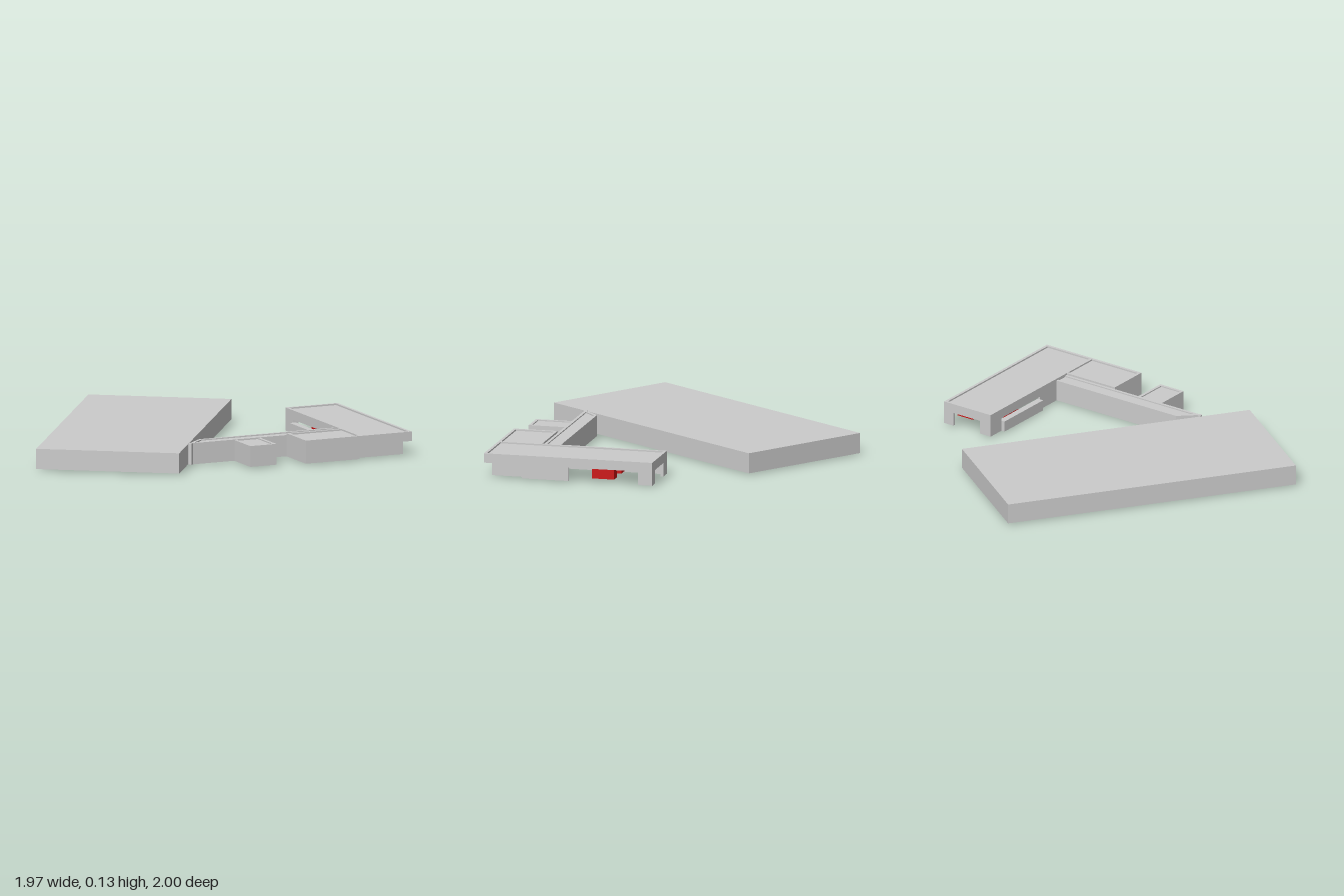
import * as THREE from 'three';

const grey = new THREE.MeshStandardMaterial({ color: 0xcccccc, side: THREE.DoubleSide });
const red = new THREE.MeshStandardMaterial({ color: 0xcc1111 });
const T = 0.015; // wall thickness
const BASE = 0.008;

// Box given by its extents on each axis
function block(parent, name, [x0, x1], [y0, y1], [z0, z1], material = grey) {
  const mesh = new THREE.Mesh(new THREE.BoxGeometry(x1 - x0, y1 - y0, z1 - z0), material);
  mesh.position.set((x0 + x1) / 2, (y0 + y1) / 2, (z0 + z1) / 2);
  mesh.name = name;
  parent.add(mesh);
  return mesh;
}

// Straight wall from a to b, its thickness going inward; openings are [start, end, height]
function wall(parent, name, a, b, top, openings = []) {
  const dx = b[0] - a[0], dz = b[1] - a[1], length = Math.hypot(dx, dz);
  const g = new THREE.Group();
  g.name = name;
  g.position.set(a[0], 0, a[1]);
  g.rotation.y = Math.atan2(-dz, dx);
  let s = 0;
  for (const [from, to, height] of openings) {
    if (from > s) block(g, 'pier', [s, from], [BASE, top], [0, T]);
    block(g, 'lintel', [from, to], [height, top], [0, T]);
    s = to;
  }
  if (s < length - 1e-3) block(g, 'pier', [s, length], [BASE, top], [0, T]);
  parent.add(g);
}

// Corners in the order back, right, front, left edge
const rect = (x0, x1, z0, z1) => [[x0, z0], [x1, z0], [x1, z1], [x0, z1]];

// Open-bottomed building: roof slab plus walls on the listed edges
function building(parent, name, corners, top, roofTop, edges) {
  const g = new THREE.Group();
  g.name = name;
  const shape = new THREE.Shape(corners.map(([x, z]) => new THREE.Vector2(x, -z)));
  const geo = new THREE.ExtrudeGeometry(shape, { depth: 0.01, bevelEnabled: false });
  geo.rotateX(-Math.PI / 2);
  // keep the slab sides just inside the outer wall faces
  geo.computeBoundingBox();
  const c = geo.boundingBox.getCenter(new THREE.Vector3());
  geo.translate(-c.x, 0, -c.z).scale(0.998, 1, 0.998).translate(c.x, roofTop - 0.01, c.z);
  const roof = new THREE.Mesh(geo, grey);
  roof.name = 'roof';
  g.add(roof);
  for (const [i, openings] of Object.entries(edges)) {
    const k = Number(i);
    wall(g, 'wall', corners[k], corners[(k + 1) % 4], top, openings);
  }
  parent.add(g);
  return g;
}

export function createModel() {
  const model = new THREE.Group();
  model.name = 'buildingComplex';

  // Large hall, its origin at the front left corner
  const hallSite = new THREE.Group();
  hallSite.name = 'hallSite';
  hallSite.position.set(-0.57, 0, 0.5);
  hallSite.rotation.y = 0.593;
  model.add(hallSite);
  building(hallSite, 'mainHall', rect(0, 1.578, -0.755, 0), 0.115, 0.115,
    { 0: [], 1: [], 2: [], 3: [] });
  block(hallSite, 'counterShort', [0.14, 0.28], [0.02, 0.1], [-0.12, -0.03], red);
  block(hallSite, 'counterLong', [0.14, 0.28], [0.02, 0.1], [-0.31, -0.125], red);
  block(hallSite, 'counterFoot', [0.165, 0.22], [0, 0.02], [-0.21, -0.15]);

  // Wing, block, corridor and annex share a site with its origin at the outer corner
  const site = new THREE.Group();
  site.name = 'wingSite';
  site.position.set(0.66, 0, 0.995);
  site.rotation.y = -0.363;
  model.add(site);

  building(site, 'wing', rect(-0.3, 0, -0.905, 0), 0.13, 0.122, {
    0: [[0.07, 0.24, 0.08]],
    1: [[0.075, 0.45, 0.08], [0.7, 0.905, 0.08]],
    2: [[0, 0.3, 0.08]],
    3: [[0, 0.325, 0.1], [0.47, 0.81, 0.08]],
  });
  building(site, 'frontBlock', rect(-0.61, -0.3, -0.235, 0), 0.13, 0.122, { 0: [], 2: [], 3: [] });
  building(site, 'corridor', [[-1.07, -0.325], [-0.3, -0.325], [-0.3, -0.235], [-1.17, -0.235]],
    0.12, 0.114, { 0: [], 2: [], 3: [] });
  building(site, 'annex', rect(-0.91, -0.76, -0.235, -0.04), 0.118, 0.112, { 1: [], 2: [], 3: [] });

  // Recessed entrance corner below the overhang
  const low = [BASE, 0.082];
  block(site, 'recessedFrontWall', [-0.3, -0.035], low, [-0.05, -0.035]);
  block(site, 'recessedSideWall', [-0.05, -0.035], low, [-0.205, -0.035]);
  block(site, 'frontReturn', [-0.315, -0.3], low, [-0.05, -0.001]);
  block(site, 'sideReturn', [-0.05, -0.001], low, [-0.22, -0.205]);
  block(site, 'frontSoffit', [-0.3, -0.001], [0.08, 0.085], [-0.05, -0.001]);
  block(site, 'sideSoffit', [-0.05, -0.001], [0.08, 0.085], [-0.205, -0.05]);

  // Low bay in the inner side opening
  block(site, 'bay', [-0.32, -0.285], [BASE, 0.065], [-0.81, -0.47]);

  // Furnishings inside the wing
  block(site, 'cabinetRight', [-0.1, -0.04], [0.02, 0.09], [-0.69, -0.57], red);
  block(site, 'cabinetLeft', [-0.25, -0.19], [0.02, 0.09], [-0.69, -0.59], red);
  block(site, 'endBar', [-0.16, -0.06], [0.055, 0.095], [-0.87, -0.83], red);

  return model;
}
